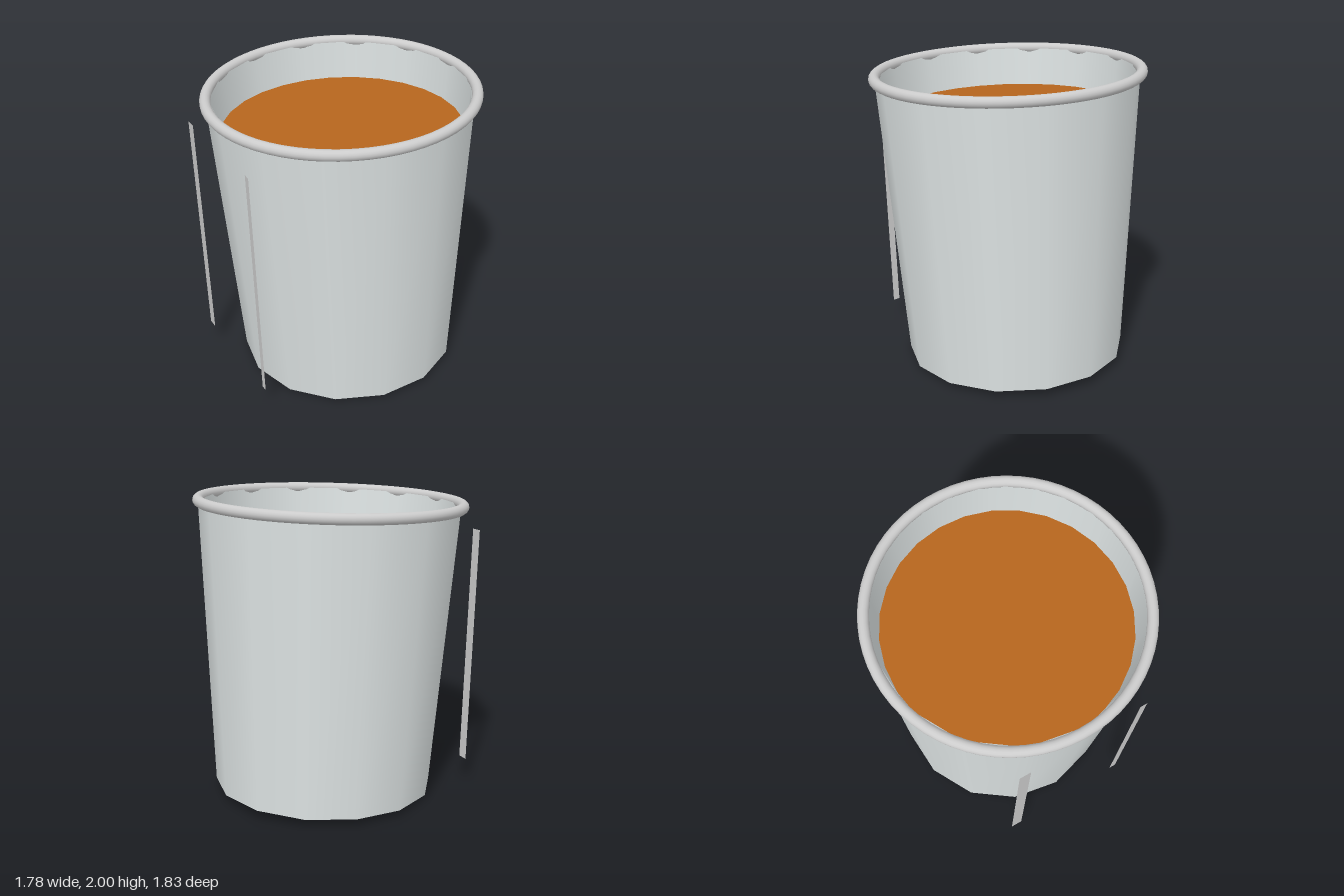
import * as THREE from 'three';

export function createModel() {
  const model = new THREE.Group();
  const grey = new THREE.MeshStandardMaterial({ color: 0xcccccc });
  const thinGrey = new THREE.MeshStandardMaterial({ color: 0xcccccc, side: THREE.DoubleSide });
  const paper = new THREE.MeshStandardMaterial({ color: 0xdde3e3, side: THREE.DoubleSide });
  const coffee = new THREE.MeshStandardMaterial({ color: 0xb5651d });

  const SIDES = 14;           // wall polygon, with corners on +x and -x
  const TILT = 0.039;         // the cup leans towards the front
  const HEIGHT = 1.9;

  const add = (parent, name, geometry, material, x = 0, y = 0, z = 0) => {
    const mesh = new THREE.Mesh(geometry, material);
    mesh.name = name;
    mesh.position.set(x, y, z);
    parent.add(mesh);
    return mesh;
  };
  const tube = (top, bottom) =>
    new THREE.CylinderGeometry(top, bottom, HEIGHT, SIDES, 1, true, Math.PI / 2);

  // Leaning cup, with its origin at the centre of the base
  const cup = new THREE.Group();
  cup.name = 'cup';
  cup.position.set(0, 0.037, -0.1);
  cup.rotation.x = TILT;
  model.add(cup);

  add(cup, 'outerWall', tube(0.855, 0.73), paper, 0, HEIGHT / 2);
  add(cup, 'innerWall', tube(0.832, 0.70), paper, 0, HEIGHT / 2);

  // Underside: flat polygon and a slightly raised round foot
  add(cup, 'base', new THREE.CircleGeometry(0.73, SIDES).rotateX(Math.PI / 2), paper);
  add(cup, 'foot', new THREE.CylinderGeometry(0.675, 0.675, 0.02, 48), grey);

  // Rolled rim
  add(cup, 'rim', new THREE.TorusGeometry(0.853, 0.035, 16, 64).rotateX(Math.PI / 2), grey, 0, HEIGHT);

  // Drink surface
  add(cup, 'drink', new THREE.CircleGeometry(0.785, 28).rotateX(-Math.PI / 2), coffee, 0, 1.65);

  // Thin upright strips standing in front of the wall: [width, x, y, z]
  const strips = [[0.077, -0.615, 0.957, 0.67], [0.047, 0.178, 0.95, 0.878]];
  for (const [width, x, y, z] of strips) {
    const strip = add(model, 'strip', new THREE.PlaneGeometry(width, 1.58), thinGrey, x, y, z);
    strip.rotation.set(TILT, -0.28, 0);
  }
  return model;
}
